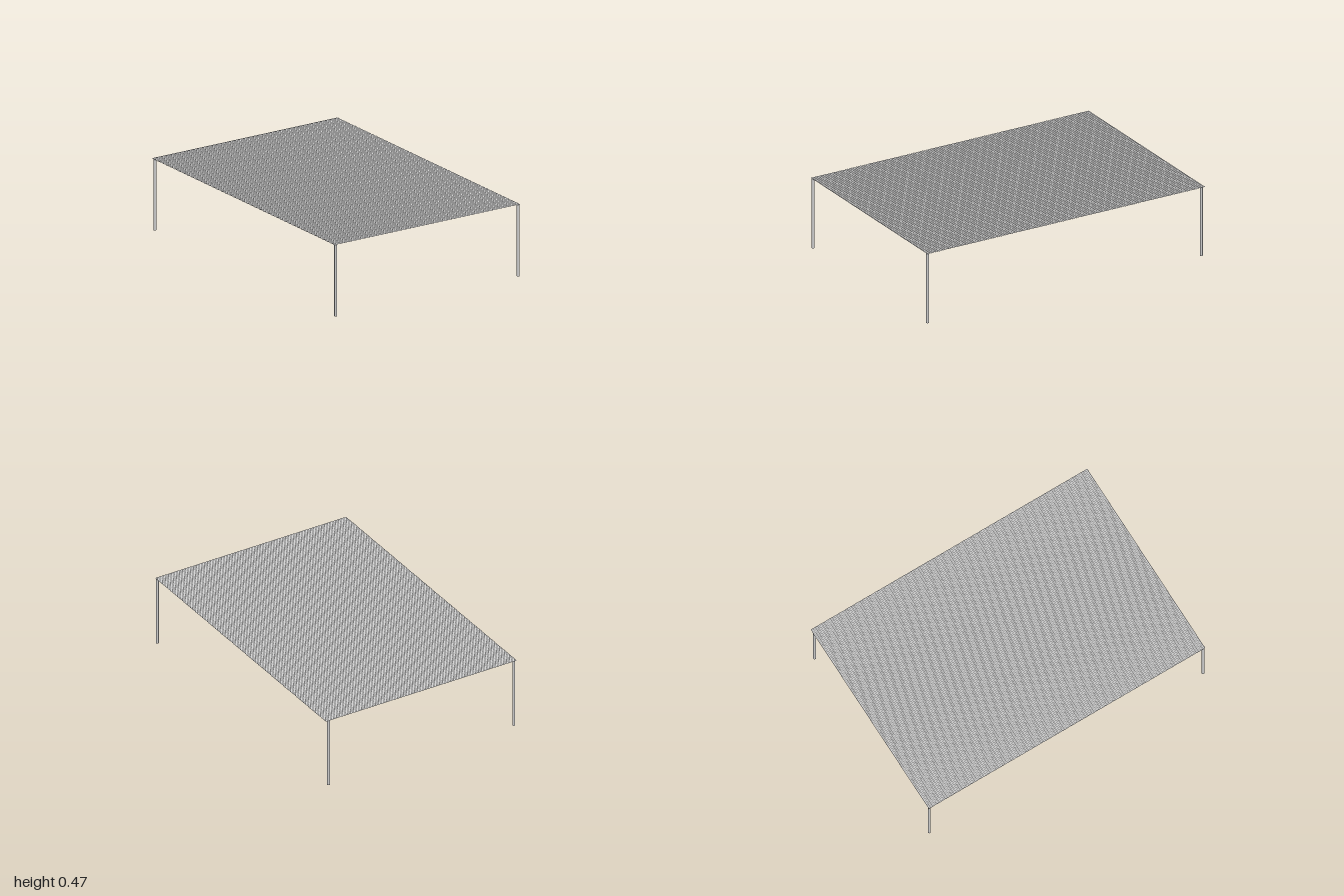
import * as THREE from 'three';

const TOP = 0.468;        // crest height of the roof sheets
const WAVE = 0.0017;      // half the depth of the corrugation
const HALF_WIDTH = 0.69;
const PANELS = 13;
const RIBS = 10;
const STEPS = 12;         // segments per corrugation

// Thin smooth sheet swept along x from a [z, y] profile, given from front to back
function sheet(profile, material) {
  const positions = [], index = [];
  for (const [z, y] of profile) positions.push(-HALF_WIDTH, y, z, HALF_WIDTH, y, z);
  for (let i = 0; i < profile.length - 1; i++) {
    const a = i * 2;
    index.push(a, a + 1, a + 3, a, a + 3, a + 2);
  }
  const geometry = new THREE.BufferGeometry();
  geometry.setAttribute('position', new THREE.Float32BufferAttribute(positions, 3));
  geometry.setIndex(index);
  geometry.computeVertexNormals();
  return new THREE.Mesh(geometry, material);
}

export function createModel() {
  const model = new THREE.Group();
  model.name = 'canopy';
  const postMaterial = new THREE.MeshStandardMaterial({ color: 0xcccccc });
  const sheetMaterial = new THREE.MeshStandardMaterial({ color: 0xcccccc, side: THREE.DoubleSide });

  // Corrugated roof: a row of wavy panels meeting on the front slope of a wave
  const roof = new THREE.Group();
  roof.name = 'roof';
  const panelLength = 2 / PANELS;
  for (let p = 0; p < PANELS; p++) {
    const profile = [];
    for (let i = 0; i <= RIBS * STEPS; i++) {
      const z = 1 - (p + i / (RIBS * STEPS)) * panelLength;
      profile.push([z, TOP - WAVE + WAVE * Math.sin((i / STEPS) * Math.PI * 2)]);
    }
    const panel = sheet(profile, sheetMaterial);
    panel.name = 'roofPanel' + (p + 1);
    roof.add(panel);
  }
  model.add(roof);

  // Round corner posts; the back left one stands slightly further in
  const posts = [
    ['frontLeftPost', 0.679, 0.992],
    ['frontRightPost', -0.677, 0.992],
    ['backLeftPost', 0.664, -0.988],
    ['backRightPost', -0.675, -0.988],
  ];
  const height = TOP - WAVE * 2;
  const postGeometry = new THREE.CylinderGeometry(0.009, 0.009, height, 20);
  for (const [name, x, z] of posts) {
    const post = new THREE.Mesh(postGeometry, postMaterial);
    post.position.set(x, height / 2, z);
    post.name = name;
    model.add(post);
  }
  return model;
}
